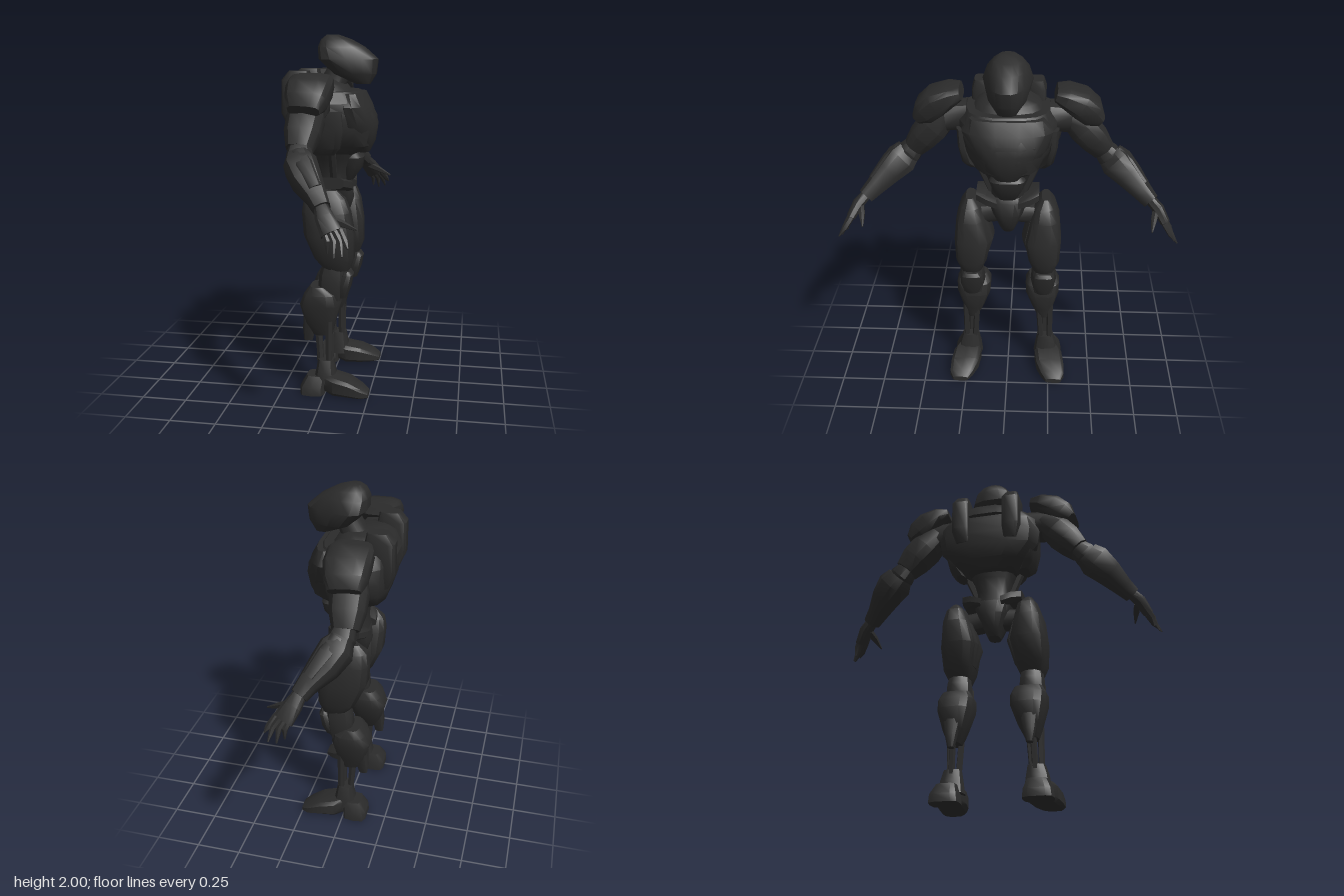
import * as THREE from 'three';
import { toCreasedNormals } from 'three/addons/utils/BufferGeometryUtils.js';

const armour = new THREE.MeshStandardMaterial({ color: 0x2b2b2b });
armour.name = 'charcoal armour';
const X = new THREE.Vector3(1, 0, 0), Y = new THREE.Vector3(0, 1, 0), Z = new THREE.Vector3(0, 0, 1);

// Loft of rounded sections [x, y, z, halfU, halfV, taper]; taper narrows the +U side.
// axis fixes the section direction; otherwise sections follow the path.
function loft(name, rows, { n = 10, p = 0.75, axis = null, ref = X, side = 1, crease = 0.65 } = {}) {
  const pts = rows.map(r => new THREE.Vector3(r[0], r[1], r[2] * side));
  const pos = [], idx = [], last = rows.length - 1;
  const pw = a => Math.sign(a) * Math.pow(Math.abs(a), p);
  rows.forEach((r, i) => {
    const t = axis ? axis.clone()
      : pts[Math.min(i + 1, last)].clone().sub(pts[Math.max(i - 1, 0)]).normalize();
    const u = ref.clone().addScaledVector(t, -ref.dot(t)).normalize();
    const v = t.clone().cross(u);
    for (let j = 0; j < n; j++) {
      const a = (j + 0.5) / n * Math.PI * 2, c = pw(Math.cos(a)), s = pw(Math.sin(a));
      const q = pts[i].clone().addScaledVector(u, c * r[3])
        .addScaledVector(v, s * r[4] * (1 - (r[5] || 0) * c));
      pos.push(q.x, q.y, q.z);
    }
  });
  const c0 = pos.length / 3;
  for (const q of [pts[0], pts[last]]) pos.push(q.x, q.y, q.z);
  for (let j = 0; j < n; j++) {
    const k = (j + 1) % n;
    for (let i = 0; i < last; i++) {
      const a = i * n + j, b = i * n + k;
      idx.push(a, b, a + n, b, b + n, a + n);
    }
    idx.push(c0, k, j, c0 + 1, last * n + j, last * n + k);
  }
  const g = new THREE.BufferGeometry();
  g.setAttribute('position', new THREE.Float32BufferAttribute(pos, 3));
  g.setIndex(idx);
  const m = new THREE.Mesh(toCreasedNormals(g, crease), armour);
  m.name = name;
  return m;
}

function group(name, ...parts) {
  const g = new THREE.Group();
  g.name = name;
  g.add(...parts);
  return g;
}

function makeBody() {
  const o = { axis: Y, n: 14 };
  return group('body',
    loft('head', [[0.17, 1.735, 0, 0.04, 0.05], [0.125, 1.79, 0, 0.12, 0.1, 0.25],
      [0.09, 1.87, 0, 0.165, 0.12, 0.4], [0.05, 1.935, 0, 0.13, 0.105, 0.25],
      [0.02, 1.975, 0, 0.085, 0.08], [0, 2, 0, 0.035, 0.04]], o),
    loft('neck', [[-0.05, 1.6, 0, 0.12, 0.12], [-0.02, 1.7, 0, 0.08, 0.075], [0.05, 1.84, 0, 0.07, 0.07]], o),
    loft('collar', [[-0.06, 1.66, 0, 0.19, 0.21], [-0.07, 1.73, 0, 0.15, 0.17], [-0.07, 1.76, 0, 0.1, 0.12]], o),
    loft('chest', [[0.0, 1.35, 0, 0.14, 0.13], [0.015, 1.4, 0, 0.21, 0.2, 0.2], [0.015, 1.48, 0, 0.235, 0.255, 0.35],
      [0.01, 1.56, 0, 0.235, 0.275, 0.3], [-0.01, 1.64, 0, 0.215, 0.275, 0.22], [-0.03, 1.7, 0, 0.18, 0.23, 0.1]],
    { ...o, p: 0.65 }),
    loft('breastPlate', [[0.17, 1.36, 0, 0.04, 0.06], [0.17, 1.42, 0, 0.07, 0.13, 0.2], [0.165, 1.52, 0, 0.09, 0.2, 0.35],
      [0.14, 1.62, 0, 0.08, 0.24, 0.2], [0.12, 1.69, 0, 0.06, 0.2]], o),
    loft('waist', [[0, 1.16, 0, 0.09, 0.1], [0.01, 1.24, 0, 0.09, 0.095], [0.02, 1.32, 0, 0.11, 0.12], [0.02, 1.42, 0, 0.14, 0.17]], o),
    loft('abdomenPlate', [[0.09, 1.2, 0, 0.03, 0.05], [0.11, 1.27, 0, 0.06, 0.085], [0.12, 1.33, 0, 0.06, 0.1], [0.1, 1.37, 0, 0.05, 0.07]], o),
    loft('pelvis', [[0.01, 0.965, 0, 0.05, 0.035], [0.01, 1.0, 0, 0.08, 0.05], [0.01, 1.09, 0, 0.11, 0.09], [0.01, 1.17, 0, 0.1, 0.12], [0.01, 1.2, 0, 0.08, 0.1]], o));
}

function makeTorsoSide(side) {
  const o = { axis: Y, side };
  return group('torsoSide',
    loft('backPack', [[-0.18, 1.5, 0.14, 0.04, 0.04], [-0.18, 1.58, 0.15, 0.075, 0.055], [-0.175, 1.76, 0.15, 0.08, 0.055], [-0.16, 1.81, 0.15, 0.055, 0.04]],
      { ...o, p: 0.45, n: 12 }),
    loft('sidePlate', [[-0.02, 1.36, 0.19, 0.06, 0.03], [-0.02, 1.4, 0.22, 0.1, 0.035], [-0.03, 1.5, 0.245, 0.13, 0.03], [-0.03, 1.6, 0.25, 0.12, 0.03]], o),
    loft('waistPiston', [[0.02, 1.21, 0.09, 0.02, 0.02], [0.02, 1.4, 0.17, 0.022, 0.022]], { side, n: 6 }),
    loft('hipPlate', [[0.01, 1.165, 0.06, 0.12, 0.03], [0.01, 1.185, 0.12, 0.115, 0.035], [0.01, 1.2, 0.175, 0.08, 0.033]], { axis: Z.clone().multiplyScalar(side), side, p: 0.55 }),
    loft('hipJoint', [[0.01, 1.08, 0.05, 0.06, 0.06], [0.01, 1.06, 0.2, 0.06, 0.06]], { side }));
}

function makeArm(side) {
  const o = { side };
  const arm = group('arm',
    loft('shoulderPad', [[-0.06, 1.77, 0.255, 0.095, 0.035], [-0.06, 1.755, 0.31, 0.12, 0.058], [-0.06, 1.715, 0.39, 0.122, 0.08],
      [-0.065, 1.665, 0.45, 0.11, 0.075], [-0.07, 1.625, 0.495, 0.085, 0.035]], { ...o, p: 0.6, n: 12 }),
    loft('shoulderJoint', [[-0.06, 1.64, 0.22, 0.09, 0.08], [-0.06, 1.63, 0.34, 0.09, 0.08]], o),
    loft('upperArm', [[-0.07, 1.65, 0.33, 0.08, 0.07], [-0.075, 1.57, 0.405, 0.1, 0.09], [-0.08, 1.5, 0.47, 0.095, 0.085], [-0.085, 1.43, 0.525, 0.07, 0.065]], o),
    loft('elbow', [[-0.085, 1.46, 0.5, 0.05, 0.05], [-0.075, 1.4, 0.555, 0.07, 0.07], [-0.06, 1.36, 0.6, 0.05, 0.05]], o),
    loft('forearm', [[-0.08, 1.4, 0.565, 0.06, 0.075], [-0.06, 1.36, 0.605, 0.088, 0.092], [-0.015, 1.3, 0.675, 0.08, 0.075],
      [0.045, 1.235, 0.745, 0.055, 0.055], [0.08, 1.19, 0.795, 0.045, 0.045]], { ...o, p: 0.65 }),
    loft('forearmPlate', [[-0.07, 1.435, 0.61, 0.04, 0.025], [-0.03, 1.375, 0.67, 0.05, 0.035], [0.04, 1.28, 0.755, 0.035, 0.025]], o),
    loft('palm', [[0.075, 1.2, 0.79, 0.035, 0.03], [0.1, 1.155, 0.835, 0.048, 0.033], [0.14, 1.09, 0.875, 0.055, 0.026]], o));
  // four fingers fanned from the palm, then the thumb
  const tips = [[0.125, 1.0, 0.905], [0.16, 0.985, 0.93], [0.2, 0.995, 0.94], [0.225, 1.03, 0.92]];
  tips.forEach(([x, y, z], i) => arm.add(loft('finger',
    [[0.1 + i * 0.026, 1.105, 0.865 + (i % 3) * 0.004, 0.016, 0.017],
      [x * 0.6 + 0.05 + i * 0.008, 1.055, 0.9, 0.016, 0.016], [x, y, z, 0.004, 0.004]], { ...o, n: 6 })));
  arm.add(loft('thumb', [[0.11, 1.15, 0.82, 0.02, 0.022], [0.175, 1.125, 0.805, 0.018, 0.018], [0.25, 1.09, 0.79, 0.004, 0.005]],
    { ...o, n: 6, ref: Z }));
  return arm;
}

function makeLeg(side) {
  const o = { axis: Y, side };
  const leg = group('leg',
    loft('thigh', [[0.06, 0.725, 0.21, 0.07, 0.06], [0.045, 0.79, 0.21, 0.11, 0.09], [0.015, 0.92, 0.2, 0.14, 0.108],
      [0, 1.05, 0.21, 0.135, 0.085], [-0.01, 1.125, 0.21, 0.115, 0.06], [-0.01, 1.17, 0.215, 0.07, 0.025]], { ...o, n: 12, p: 0.65 }),
    loft('innerThighPlate', [[0.02, 0.8, 0.14, 0.05, 0.025], [0.01, 0.92, 0.11, 0.09, 0.03], [0, 1.05, 0.14, 0.07, 0.025]], o),
    loft('knee', [[0.03, 0.55, 0.21, 0.06, 0.06], [0.03, 0.63, 0.21, 0.075, 0.075], [0.035, 0.7, 0.21, 0.075, 0.07], [0.04, 0.76, 0.21, 0.06, 0.06]], o),
    loft('kneeCap', [[0.085, 0.565, 0.21, 0.03, 0.04], [0.1, 0.63, 0.21, 0.04, 0.065], [0.12, 0.7, 0.21, 0.033, 0.06], [0.12, 0.72, 0.21, 0.02, 0.045]], o),
    loft('calf', [[-0.02, 0.34, 0.215, 0.055, 0.035], [-0.035, 0.41, 0.21, 0.085, 0.065], [-0.035, 0.52, 0.205, 0.115, 0.1],
      [-0.03, 0.585, 0.205, 0.095, 0.102], [-0.04, 0.63, 0.205, 0.05, 0.08]], { ...o, n: 12, p: 0.65 }),
    loft('calfSpur', [[-0.105, 0.3, 0.215, 0.025, 0.018], [-0.1, 0.37, 0.215, 0.035, 0.035], [-0.09, 0.5, 0.21, 0.04, 0.06]], o),
    loft('ankle', [[0, 0.07, 0.235, 0.07, 0.075], [0, 0.14, 0.235, 0.055, 0.065], [0, 0.2, 0.23, 0.045, 0.05]], o),
    loft('heel', [[-0.07, 0.005, 0.25, 0.07, 0.085], [-0.07, 0.05, 0.25, 0.07, 0.08], [-0.05, 0.11, 0.245, 0.055, 0.055]], { ...o, p: 0.5 }),
    loft('toe', [[0, 0.075, 0.245, 0.06, 0.055], [0.05, 0.063, 0.25, 0.085, 0.058], [0.14, 0.053, 0.262, 0.085, 0.048],
      [0.21, 0.036, 0.278, 0.07, 0.031], [0.25, 0.025, 0.282, 0.045, 0.015]], { side, axis: X, ref: Z, p: 0.5 }));
  // slim shin rods between calf and ankle
  for (const [x0, z0, x1, z1] of [[0.02, 0.255, 0.02, 0.255], [0.02, 0.185, 0.02, 0.205], [-0.05, 0.22, -0.03, 0.23]])
    leg.add(loft('shinRod', [[x1, 0.16, z1, 0.018, 0.017], [x0, 0.45, z0, 0.022, 0.018]], { ...o, n: 6 }));
  return leg;
}

export function createModel() {
  const model = group('robot', makeBody());
  for (const side of [1, -1]) model.add(makeTorsoSide(side), makeArm(side), makeLeg(side));
  return model;
}
